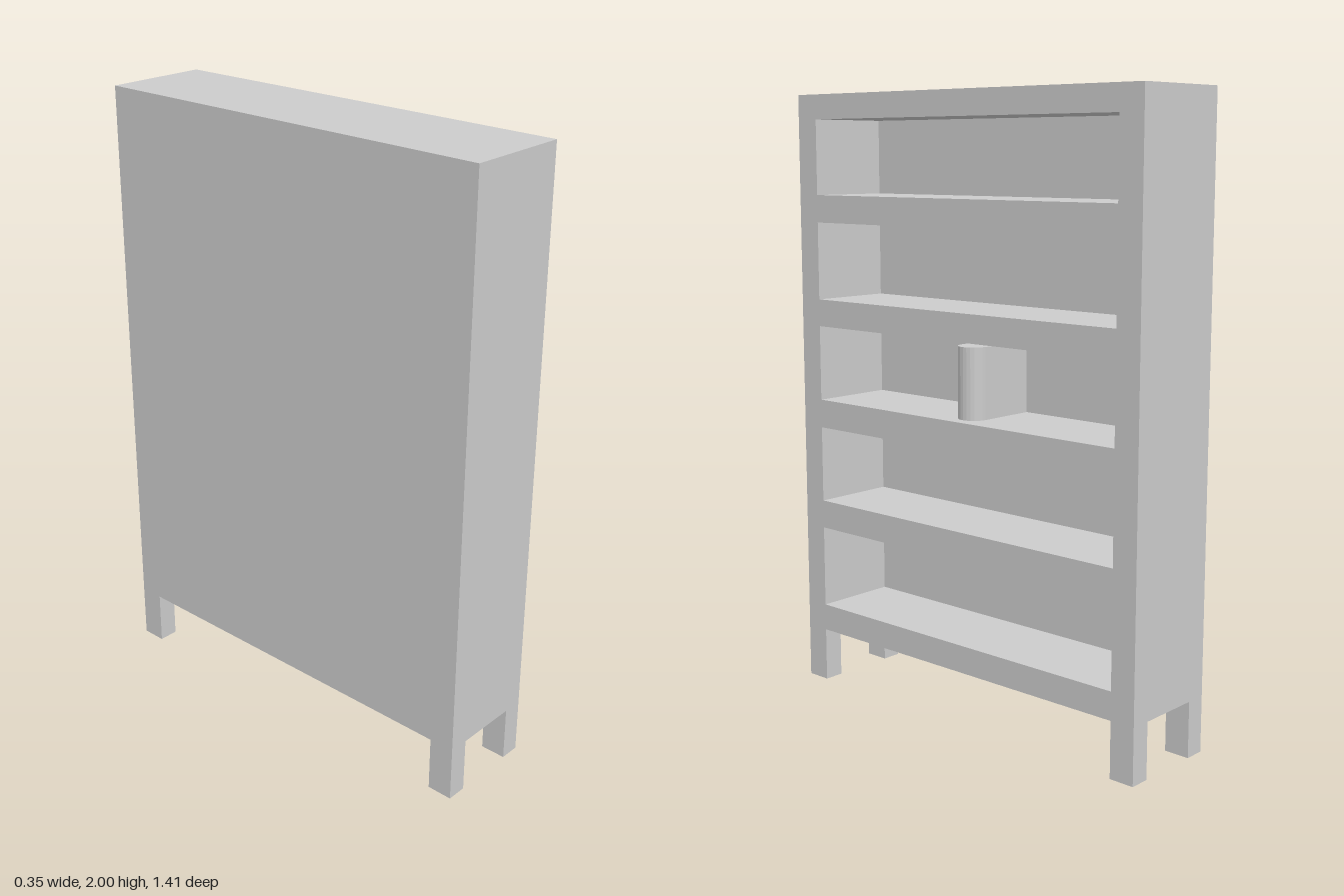
import * as THREE from 'three';

const HX = 0.173, HZ = 0.706, TOP = 2, BASE = 0.18;
const INNER_Z = 0.622; // half width of the openings
const BACK_X = -0.11; // inner face of the back panel
const LEG_X = 0.067, LEG_Z = HZ - INNER_Z;
// bottom and top of each compartment
const BAYS = [[0.27, 0.545], [0.64, 0.895], [0.99, 1.24], [1.33, 1.585], [1.675, 1.92]];

const material = new THREE.MeshStandardMaterial({ color: 0xcccccc, flatShading: true });

function add(parent, name, geometry, x = 0, y = 0, z = 0) {
  const mesh = new THREE.Mesh(geometry, material);
  mesh.name = name;
  mesh.position.set(x, y, z);
  parent.add(mesh);
}

function rectangle(path, w, y0, y1) {
  path.moveTo(-w, y0);
  path.lineTo(w, y0);
  path.lineTo(w, y1);
  path.lineTo(-w, y1);
  path.closePath();
  return path;
}

export function createModel() {
  const model = new THREE.Group();
  model.name = 'bookcase';

  // Sides, top and shelves: one frame with five openings facing +x
  const frame = rectangle(new THREE.Shape(), HZ, BASE, TOP);
  for (const [y0, y1] of BAYS) frame.holes.push(rectangle(new THREE.Path(), INNER_Z, y0, y1));
  const frameGeometry = new THREE.ExtrudeGeometry(frame, { depth: HX - BACK_X, bevelEnabled: false });
  frameGeometry.rotateY(Math.PI / 2);
  add(model, 'shelfFrame', frameGeometry, BACK_X);

  // Closed back
  const backDepth = BACK_X + HX;
  add(model, 'backPanel', new THREE.BoxGeometry(backDepth, TOP - BASE, 2 * HZ),
    -HX + backDepth / 2, (TOP + BASE) / 2, 0);

  // Four corner legs
  for (const sx of [-1, 1]) {
    for (const sz of [-1, 1]) {
      add(model, 'leg', new THREE.BoxGeometry(LEG_X, BASE, LEG_Z),
        sx * (HX - LEG_X / 2), BASE / 2, sz * (HZ - LEG_Z / 2));
    }
  }

  // Upright book with a rounded spine on the middle shelf
  const r = 0.05, spineX = 0.085;
  const book = new THREE.Shape();
  book.moveTo(BACK_X, -r);
  book.lineTo(spineX, -r);
  book.absarc(spineX, 0, r, -Math.PI / 2, Math.PI / 2, false);
  book.lineTo(BACK_X, r);
  book.closePath();
  const bookGeometry = new THREE.ExtrudeGeometry(book, { depth: 0.23, bevelEnabled: false, curveSegments: 6 });
  bookGeometry.rotateX(-Math.PI / 2);
  add(model, 'book', bookGeometry, 0, BAYS[2][0], 0);

  return model;
}
